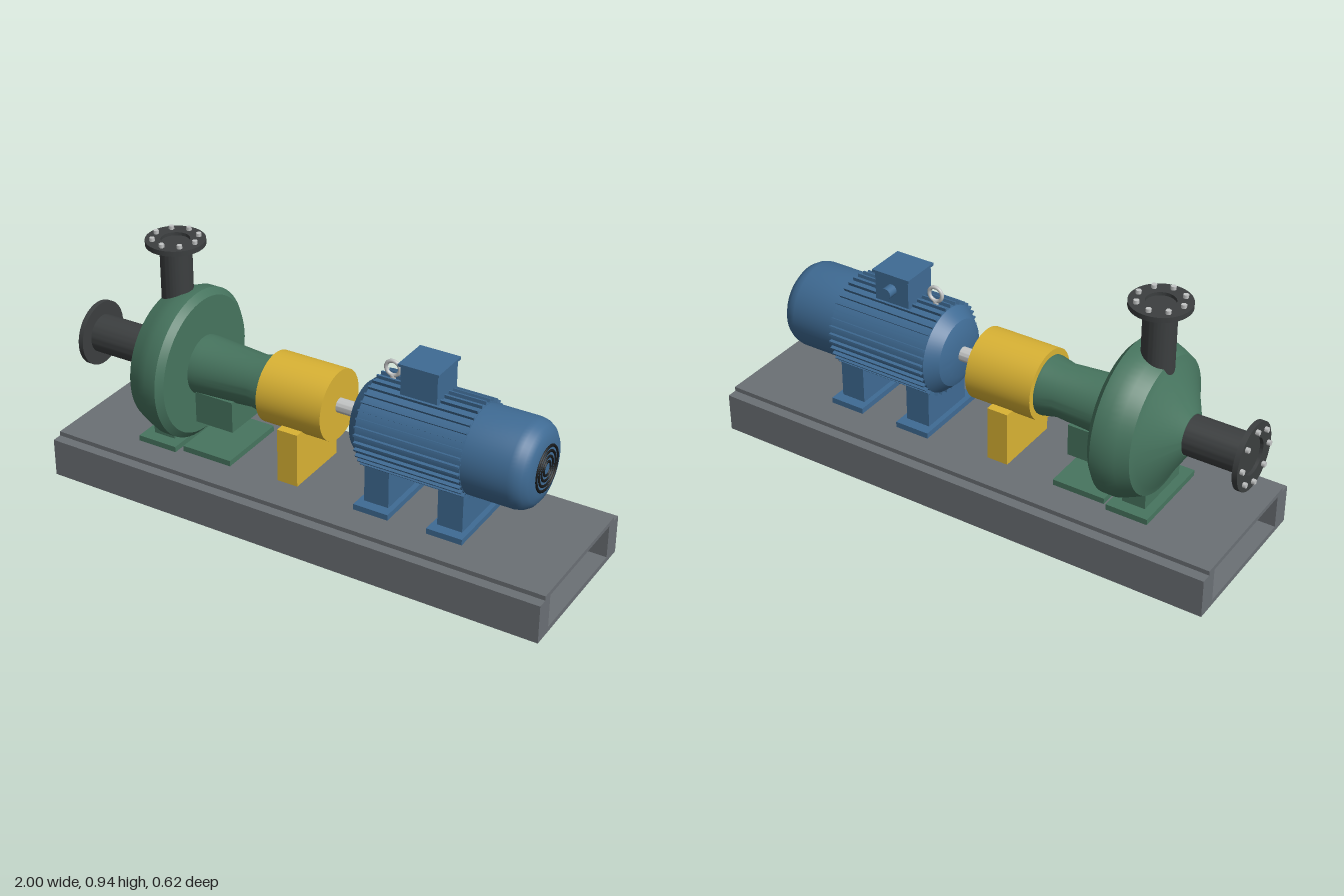
import * as THREE from 'three';
import { toCreasedNormals } from 'three/addons/utils/BufferGeometryUtils.js';

const material = (name, color) => {
  const m = new THREE.MeshStandardMaterial({ color });
  m.name = name;
  return m;
};

const AXIS = 0.46; // height of the shaft line

export function createModel() {
  const root = new THREE.Group();
  root.name = 'motorPump';
  const baseGrey = material('baseGrey', 0x6b7075);
  const green = material('pumpGreen', 0x47755f);
  const blue = material('motorBlue', 0x3f6b94);
  const yellow = material('guardYellow', 0xdab334);
  const iron = material('darkIron', 0x3c3f40);
  const steel = material('steel', 0xc4c6c6);
  const black = material('grilleBlack', 0x17191a);

  const add = (name, geometry, mat, parent = root) => {
    const mesh = new THREE.Mesh(geometry, mat);
    mesh.name = name;
    parent.add(mesh);
    return mesh;
  };
  // Box given by its limits on each axis
  const box = (name, mat, x0, x1, y0, y1, z0, z1) => {
    const mesh = add(name, new THREE.BoxGeometry(x1 - x0, y1 - y0, z1 - z0), mat);
    mesh.position.set((x0 + x1) / 2, (y0 + y1) / 2, (z0 + z1) / 2);
    return mesh;
  };
  // Turned part: pairs of [position along axis, radius]
  const turned = (profile, segments = 64) => toCreasedNormals(
    new THREE.LatheGeometry(profile.map(([a, r]) => new THREE.Vector2(r, a)), segments), 0.45);
  // Turned part lying along the shaft line
  const alongShaft = (name, mat, profile) => {
    const mesh = add(name, turned(profile).rotateZ(-Math.PI / 2), mat);
    mesh.position.y = AXIS;
    return mesh;
  };

  // Base frame: hollow, open at both ends
  const [bx0, bx1] = [-0.985, 0.997];
  box('baseFloor', baseGrey, bx0, bx1, 0, 0.02, -0.233, 0.233);
  box('baseTopPlate', baseGrey, bx0, bx1, 0.148, 0.165, -0.27, 0.27);
  for (const s of [-1, 1]) {
    box('baseRail', baseGrey, bx0, bx1, 0, 0.148, s > 0 ? 0.233 : -0.308, s > 0 ? 0.308 : -0.233);
  }

  // Pump casing and bearing frame
  alongShaft('pumpCasing', green, [
    [-0.757, 0], [-0.757, 0.075], [-0.67, 0.22], [-0.66, 0.248], [-0.615, 0.268],
    [-0.575, 0.282], [-0.53, 0.282], [-0.508, 0.258], [-0.508, 0],
  ]);
  alongShaft('bearingFrame', green, [
    [-0.52, 0], [-0.52, 0.112], [-0.48, 0.112], [-0.27, 0.097], [-0.215, 0.109], [-0.2, 0.109], [-0.2, 0],
  ]);
  box('casingFoot', green, -0.695, -0.535, 0.165, 0.187, -0.168, 0.168);
  box('casingPedestal', green, -0.66, -0.572, 0.187, 0.32, -0.12, 0.12);
  box('frameFoot', green, -0.515, -0.312, 0.165, 0.187, -0.145, 0.145);
  box('frameSupport', green, -0.492, -0.335, 0.27, 0.392, -0.09, 0.09);

  // Flanged pipe: rises along +y from 0, with a shallow bore and a ring of bolts
  const flangedPipe = (name, length, pipeR, flangeR, boltR) => {
    const g = new THREE.Group();
    g.name = name;
    root.add(g);
    const top = length + 0.019;
    add(name + 'Body', turned([
      [0, 0], [0, pipeR], [length, pipeR], [length, flangeR], [top, flangeR],
      [top, pipeR - 0.006], [top - 0.012, pipeR - 0.006], [top - 0.012, 0],
    ]), iron, g);
    for (let i = 0; i < 8; i++) {
      const a = i * Math.PI / 4;
      const bolt = add('flangeBolt', new THREE.CylinderGeometry(0.01, 0.01, 0.02, 6), steel, g);
      bolt.position.set(Math.cos(a) * boltR, top + 0.003, Math.sin(a) * boltR);
    }
    return g;
  };
  flangedPipe('dischargePipe', 0.293, 0.058, 0.108, 0.083).position.set(-0.617, 0.62, 0);
  const suction = flangedPipe('suctionPipe', 0.229, 0.072, 0.123, 0.098);
  suction.rotation.z = Math.PI / 2;
  suction.position.set(-0.739, AXIS, 0);

  // Coupling guard and shaft
  alongShaft('couplingGuard', yellow, [[-0.205, 0], [-0.205, 0.132], [0.057, 0.132], [0.057, 0]]);
  box('guardLeg', yellow, -0.117, -0.035, 0.165, 0.374, -0.133, 0.133);
  alongShaft('shaft', steel, [[0.04, 0], [0.04, 0.027], [0.17, 0.027], [0.17, 0]]);

  // Motor body with end bell, and fan cowl
  alongShaft('motorBody', blue, [
    [0.155, 0], [0.155, 0.088], [0.17, 0.125], [0.213, 0.163], [0.615, 0.163], [0.615, 0],
  ]);
  alongShaft('fanCowl', blue, [
    [0.61, 0], [0.61, 0.161], [0.785, 0.161], [0.808, 0.156], [0.828, 0.144], [0.843, 0.124],
    [0.851, 0.098], [0.853, 0.07], [0.853, 0],
  ]);

  // Cooling fins
  const fins = new THREE.Group();
  fins.name = 'coolingFins';
  root.add(fins);
  fins.position.set(0.414, AXIS, 0);
  for (let i = 0; i < 36; i++) {
    const a = (i + 0.5) * Math.PI / 18;
    const fin = add('fin', new THREE.BoxGeometry(0.4, 0.03, 0.007), blue, fins);
    fin.position.set(0, Math.cos(a) * 0.161, Math.sin(a) * 0.161);
    fin.rotation.x = a;
  }

  // Fan grille rings
  for (const r of [0.025, 0.043, 0.062, 0.08]) {
    const ring = add('grilleRing', new THREE.TorusGeometry(r, 0.0055, 8, 48), black);
    ring.rotation.y = Math.PI / 2;
    ring.position.set(0.852, AXIS, 0);
  }

  // Motor feet
  for (const x of [0.275, 0.562]) {
    box('motorFoot', blue, x - 0.068, x + 0.068, 0.165, 0.187, -0.155, 0.155);
    box('motorLeg', blue, x - 0.048, x + 0.048, 0.187, 0.35, -0.115, 0.115);
  }

  // Terminal box with lid and cable gland
  box('terminalBox', blue, 0.335, 0.475, 0.6, 0.728, -0.07, 0.07);
  box('terminalLid', blue, 0.327, 0.483, 0.728, 0.738, -0.077, 0.077);
  const gland = add('cableGland', new THREE.CylinderGeometry(0.021, 0.021, 0.05, 24), blue);
  gland.rotation.x = Math.PI / 2;
  gland.position.set(0.405, 0.677, -0.084);

  // Lifting eye
  add('liftingEye', new THREE.TorusGeometry(0.027, 0.007, 12, 32), steel).position.set(0.267, 0.668, 0);
  add('liftingEyeStem', new THREE.CylinderGeometry(0.01, 0.01, 0.03, 16), steel).position.set(0.267, 0.628, 0);

  return root;
}
